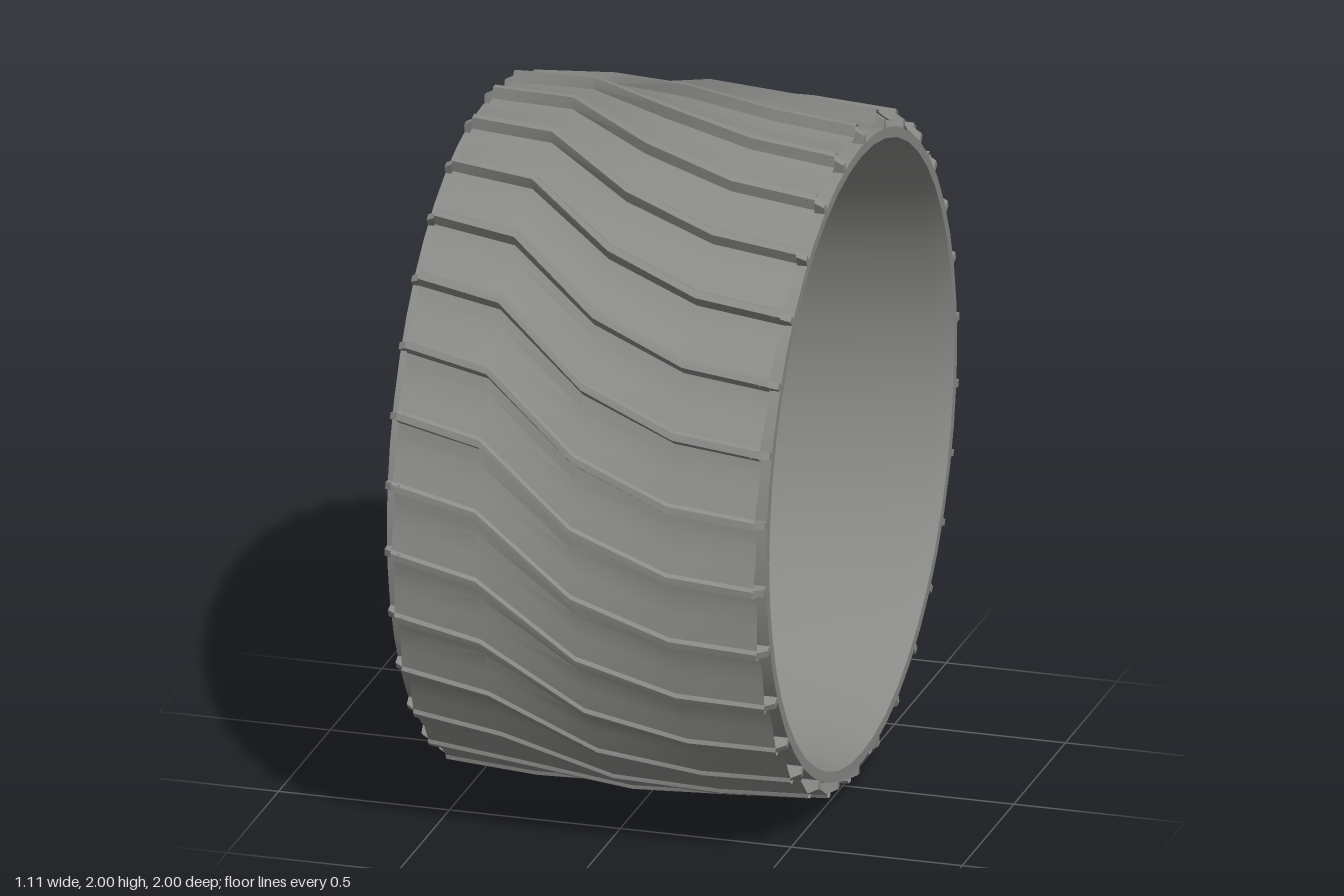
import * as THREE from 'three';
import { toCreasedNormals } from 'three/addons/utils/BufferGeometryUtils.js';

const RIDGES = 30;
const PITCH = (Math.PI * 2) / RIDGES;
const deg = THREE.MathUtils.degToRad;

// Tread stations across the width: x, crown radius, sweep of the ridge in degrees
const STATIONS = [
  [-0.53, 0.975, 20.5], [-0.28, 0.99, 17.5], [0, 1, 4.5], [0.28, 0.99, -2], [0.53, 0.975, -3.5],
];

// One tread pitch: fraction of the pitch, height relative to the ridge top
const TOOTH = [[0, 0], [0.1, 0], [0.14, -0.032], [0.35, -0.036], [0.65, -0.026], [0.96, -0.01]];

function treadGeometry() {
  const pos = [], index = [];
  const cols = STATIONS.length, rows = RIDGES * TOOTH.length;
  for (let i = 0; i <= rows; i++) {
    const [f, h] = TOOTH[i % TOOTH.length];
    const turn = (Math.floor(i / TOOTH.length) + f) * PITCH;
    for (const [x, crown, sweep] of STATIONS) {
      const a = deg(sweep) - turn, r = crown + h;
      pos.push(x, r * Math.sin(a), r * Math.cos(a));
    }
  }
  for (let i = 0; i < rows; i++) {
    for (let j = 0; j < cols - 1; j++) {
      const a = i * cols + j, b = a + cols;
      index.push(a, b, a + 1, b, b + 1, a + 1);
    }
  }
  const g = new THREE.BufferGeometry();
  g.setAttribute('position', new THREE.Float32BufferAttribute(pos, 3));
  g.setIndex(index);
  return toCreasedNormals(g, deg(28));
}

// Turned part around the x axis from [radius, x] points
function turned(points, segments) {
  const g = new THREE.LatheGeometry(points.map(([r, x]) => new THREE.Vector2(r, x)), segments);
  g.rotateZ(-Math.PI / 2);
  return toCreasedNormals(g, deg(35));
}

// Curved spoke from [z, y] points, flared at both ends and deeper along x
function spokeGeometry(points) {
  const n = points.length - 1;
  const curve = new THREE.CatmullRomCurve3(
    points.map(([z, y], i) => new THREE.Vector3(-0.06 - 0.03 * (i / n), y, z)));
  const steps = 24, sides = 10;
  const g = new THREE.TubeGeometry(curve, steps, 0.032, sides, false);
  const p = g.attributes.position, v = new THREE.Vector3();
  for (let i = 0; i <= steps; i++) {
    const t = i / steps, c = curve.getPointAt(t);
    const flare = 1 + 0.7 * Math.pow(Math.abs(2 * t - 1), 6);
    for (let j = 0; j <= sides; j++) {
      const k = i * (sides + 1) + j;
      v.fromBufferAttribute(p, k).sub(c).multiplyScalar(flare);
      v.x *= 1.35;
      v.add(c);
      p.setXYZ(k, v.x, v.y, v.z);
    }
  }
  g.computeVertexNormals();
  return g;
}

// Small side rib with its outer corner chamfered
function ribGeometry(side) {
  const g = new THREE.BoxGeometry(0.05, 0.065, 0.02);
  const p = g.attributes.position;
  for (let i = 0; i < p.count; i++) {
    if (p.getY(i) > 0 && p.getX(i) * side > 0) p.setY(i, 0.005);
  }
  g.computeVertexNormals();
  return g;
}

export function createModel() {
  const model = new THREE.Group();
  model.name = 'wheel';
  const grey = new THREE.MeshStandardMaterial({ color: 0x8a8a88, side: THREE.DoubleSide });
  grey.name = 'grey';
  const wheel = new THREE.Group();
  wheel.name = 'wheelBody';
  wheel.position.y = 1;
  model.add(wheel);

  const add = (geometry, name, parent = wheel) => {
    const mesh = new THREE.Mesh(geometry, grey);
    mesh.name = name;
    parent.add(mesh);
    return mesh;
  };

  // Tread shell with swept ridges
  add(treadGeometry(), 'tread');

  // Ribs joining tread edges to the rim lips
  const ribs = new THREE.Group();
  ribs.name = 'sideRibs';
  wheel.add(ribs);
  for (const side of [-1, 1]) {
    const geometry = ribGeometry(side);
    const sweep = deg(STATIONS[side < 0 ? 0 : STATIONS.length - 1][2]);
    for (let i = 0; i < RIDGES; i++) {
      const a = sweep - (i + 0.05) * PITCH;
      const rib = add(geometry, 'sideRib', ribs);
      rib.position.set(side * 0.53, 0.943 * Math.sin(a), 0.943 * Math.cos(a));
      rib.rotation.x = Math.PI / 2 - a;
    }
  }

  // Rim barrel: deep on the +x side, conical on the -x side
  add(turned([
    [0.925, -0.555], [0.925, 0.555], [0.895, 0.555], [0.885, 0.5], [0.868, 0.06], [0.845, 0.04],
    [0.83, 0], [0.75, -0.02], [0.725, -0.05], [0.725, -0.1], [0.75, -0.14], [0.895, -0.555],
    [0.925, -0.555],
  ], 48), 'rim');

  // Hub ring
  add(turned([
    [0.185, -0.2], [0.235, -0.2], [0.255, -0.17], [0.255, -0.01], [0.24, 0.02], [0.205, 0.02],
    [0.182, -0.02], [0.185, -0.2],
  ], 40), 'hub');

  // Spokes in pairs, repeated half a turn round
  const spokePaths = [
    [[0.055, 0.76], [0.05, 0.58], [0.13, 0.43], [0.155, 0.33], [0.1, 0.21]],
    [[-0.06, 0.76], [-0.07, 0.57], [-0.115, 0.4], [-0.13, 0.27], [-0.11, 0.19]],
    [[-0.68, 0.39], [-0.53, 0.32], [-0.24, 0.2], [-0.17, 0.15]],
    [[-0.72, 0.29], [-0.5, 0.16], [-0.25, 0.07], [-0.2, 0.05]],
    [[0.68, 0.38], [0.58, 0.26], [0.41, 0.2], [0.22, 0.2], [0.16, 0.16]],
    [[0.72, 0.27], [0.57, 0.14], [0.4, 0.08], [0.22, 0.02]],
  ];
  const spokes = new THREE.Group();
  spokes.name = 'spokes';
  wheel.add(spokes);
  for (const path of spokePaths) {
    const geometry = spokeGeometry(path);
    for (const turn of [0, Math.PI]) add(geometry, 'spoke', spokes).rotation.x = turn;
  }

  return model;
}
